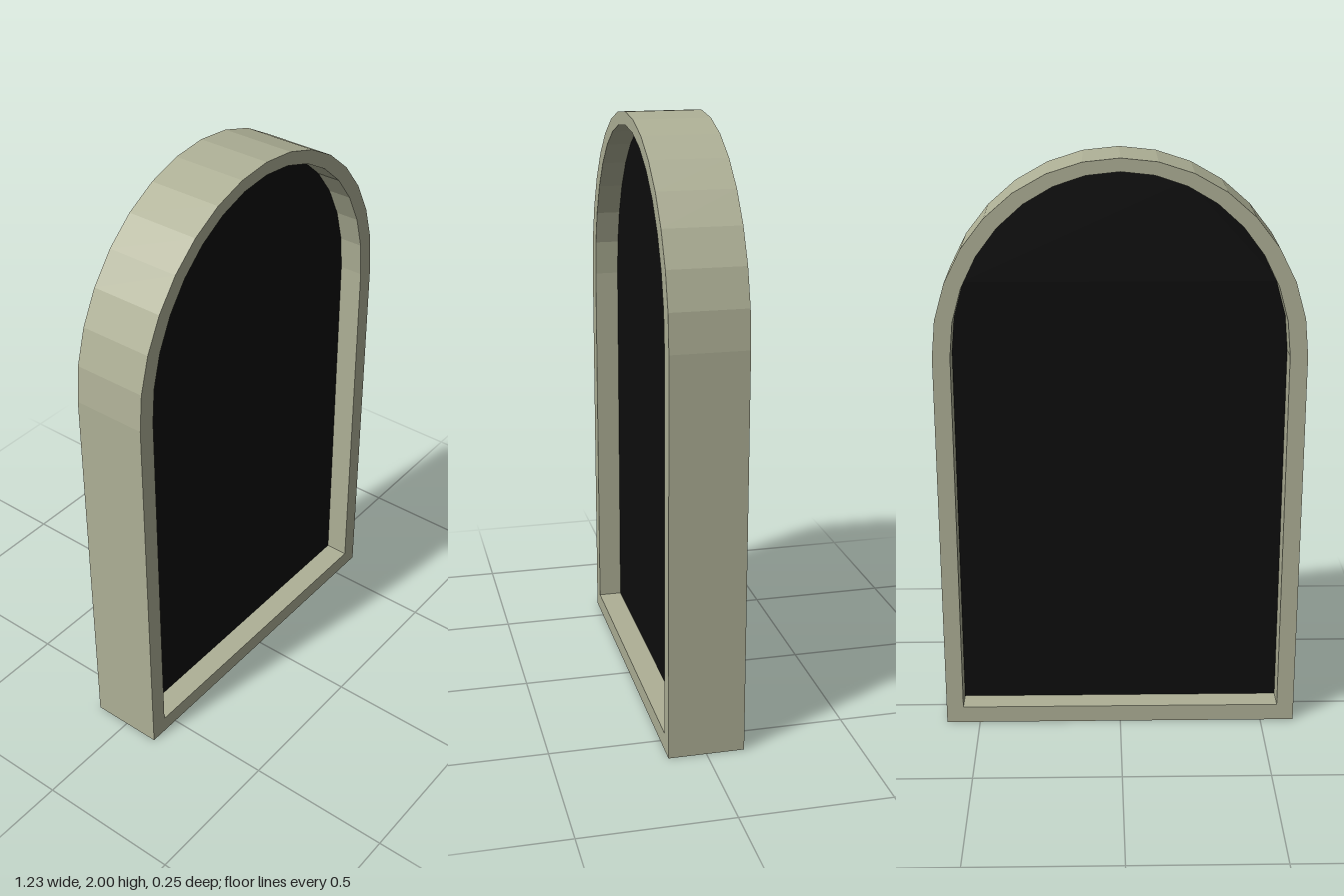
import * as THREE from 'three';

// Arched outline: straight sides up to the spring line, then a half ellipse in 16 facets
function archPoints(halfWidth, bottom, spring, top) {
  const points = [new THREE.Vector2(-halfWidth, bottom), new THREE.Vector2(halfWidth, bottom)];
  const segments = 16;
  for (let i = 0; i <= segments; i++) {
    const a = (i / segments) * Math.PI;
    points.push(new THREE.Vector2(Math.cos(a) * halfWidth, spring + Math.sin(a) * (top - spring)));
  }
  return points;
}

// Extrude a shape evenly to both sides of z = 0
function extrudeCentred(shape, depth) {
  const geometry = new THREE.ExtrudeGeometry(shape, { depth, bevelEnabled: false });
  geometry.translate(0, 0, -depth / 2);
  return geometry;
}

export function createModel() {
  const stone = new THREE.MeshStandardMaterial({ color: 0xaeb096 });
  stone.name = 'pale stone';
  const dark = new THREE.MeshStandardMaterial({ color: 0x0d0d0d });
  dark.name = 'black pane';

  const group = new THREE.Group();
  group.name = 'archedWindow';
  const spring = 1.35;

  // Frame with an arched opening
  const frameShape = new THREE.Shape(archPoints(0.617, 0, spring, 2));
  frameShape.holes.push(new THREE.Path(archPoints(0.558, 0.06, spring, 1.957)));
  const frame = new THREE.Mesh(extrudeCentred(frameShape, 0.254), stone);
  frame.name = 'frame';
  group.add(frame);

  // Pane recessed from both faces, its rim let into the frame
  const paneShape = new THREE.Shape(archPoints(0.563, 0.055, spring, 1.962));
  const pane = new THREE.Mesh(extrudeCentred(paneShape, 0.09), dark);
  pane.name = 'pane';
  group.add(pane);

  return group;
}
